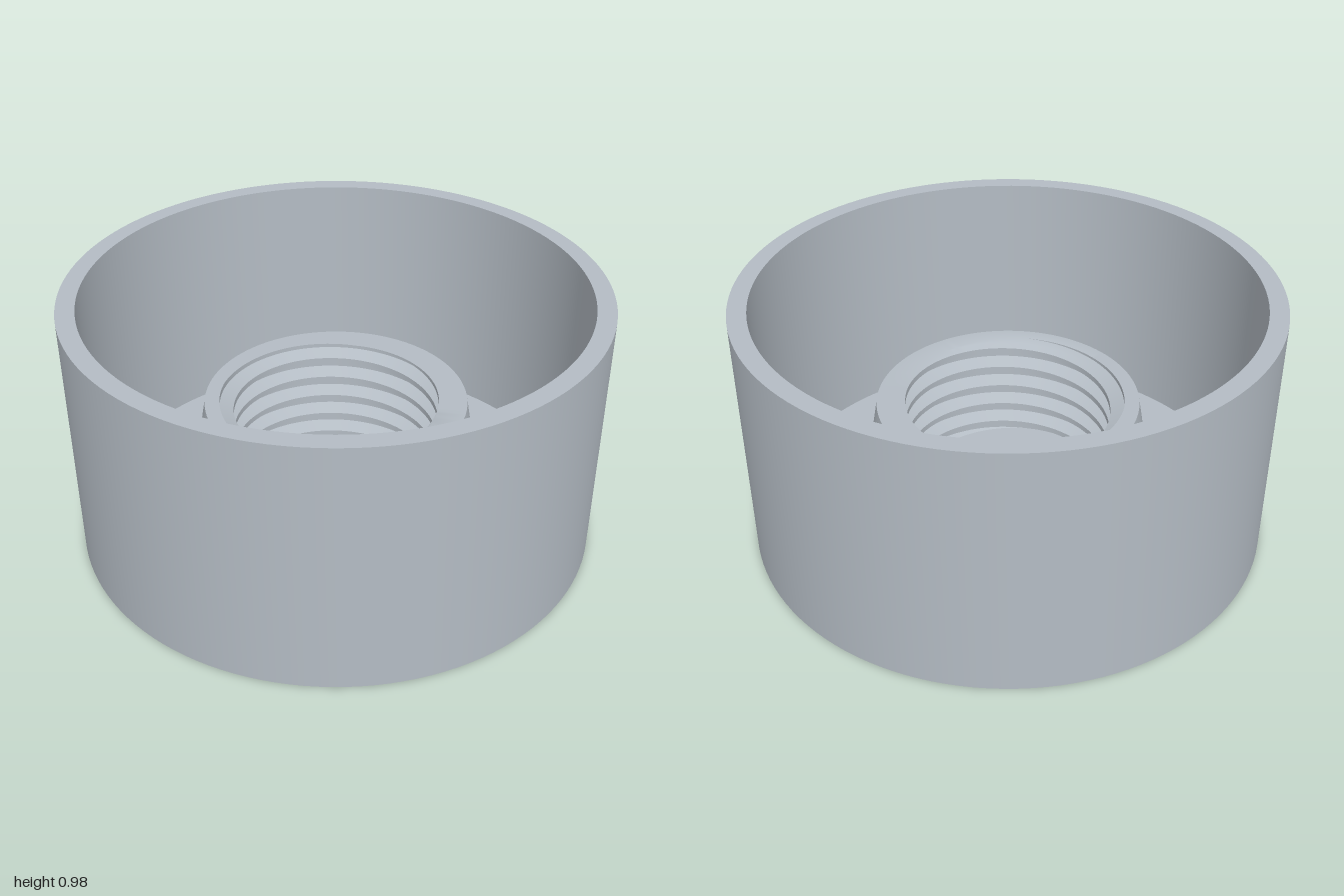
import * as THREE from 'three';
import { toCreasedNormals } from 'three/addons/utils/BufferGeometryUtils.js';

const SEGMENTS = 128;
const FLOOR = 0.07, BOSS_TOP = 0.52;
const PITCH = 0.09, STEPS = 8;

const lathe = (points) =>
  new THREE.LatheGeometry(points.map(([r, y]) => new THREE.Vector2(r, y)), SEGMENTS);

// Radius of the threaded bore: a trapezoid wave that climbs one pitch per turn
function threadRadius(turn, y) {
  const wave = 1.42 * Math.cos(2 * Math.PI * ((y - FLOOR) / PITCH - turn - 0.125));
  return 0.418 + 0.026 * THREE.MathUtils.clamp(wave, -1, 1);
}

// Flat rim of the boss followed by the bore, with rows that follow the helix
function threadedBore() {
  const rows = [[0.5, BOSS_TOP]];
  const turns = Math.round((BOSS_TOP - FLOOR) / PITCH);
  for (let k = turns * STEPS; k >= -STEPS; k--) rows.push([0.42, FLOOR + (k * PITCH) / STEPS]);
  const geometry = lathe(rows);
  const pos = geometry.attributes.position;
  for (let i = 0; i < pos.count; i++) {
    const row = i % rows.length;
    if (row === 0) continue;
    const turn = Math.floor(i / rows.length) / SEGMENTS;
    const angle = turn * 2 * Math.PI;
    const y = THREE.MathUtils.clamp(rows[row][1] + turn * PITCH, FLOOR, BOSS_TOP);
    const r = threadRadius(turn, y);
    pos.setXYZ(i, r * Math.sin(angle), y, r * Math.cos(angle));
  }
  return geometry;
}

export function createModel() {
  const group = new THREE.Group();
  group.name = 'threadedCap';
  const metal = new THREE.MeshStandardMaterial({ color: 0xb4bcc4 });
  metal.name = 'greyMetal';

  const add = (name, geometry) => {
    const mesh = new THREE.Mesh(toCreasedNormals(geometry, Math.PI / 6), metal);
    mesh.name = name;
    group.add(mesh);
  };

  // Outer cup with closed base
  add('cup', lathe([[0, 0], [1, 0], [1, 0.98], [0.93, 0.98], [0.93, FLOOR], [0, FLOOR]]));
  // Tapered boss standing on the cup floor
  add('bossWall', lathe([[0.58, FLOOR], [0.5, BOSS_TOP]]));
  // Boss rim and internal screw thread
  add('threadedBore', threadedBore());

  return group;
}
